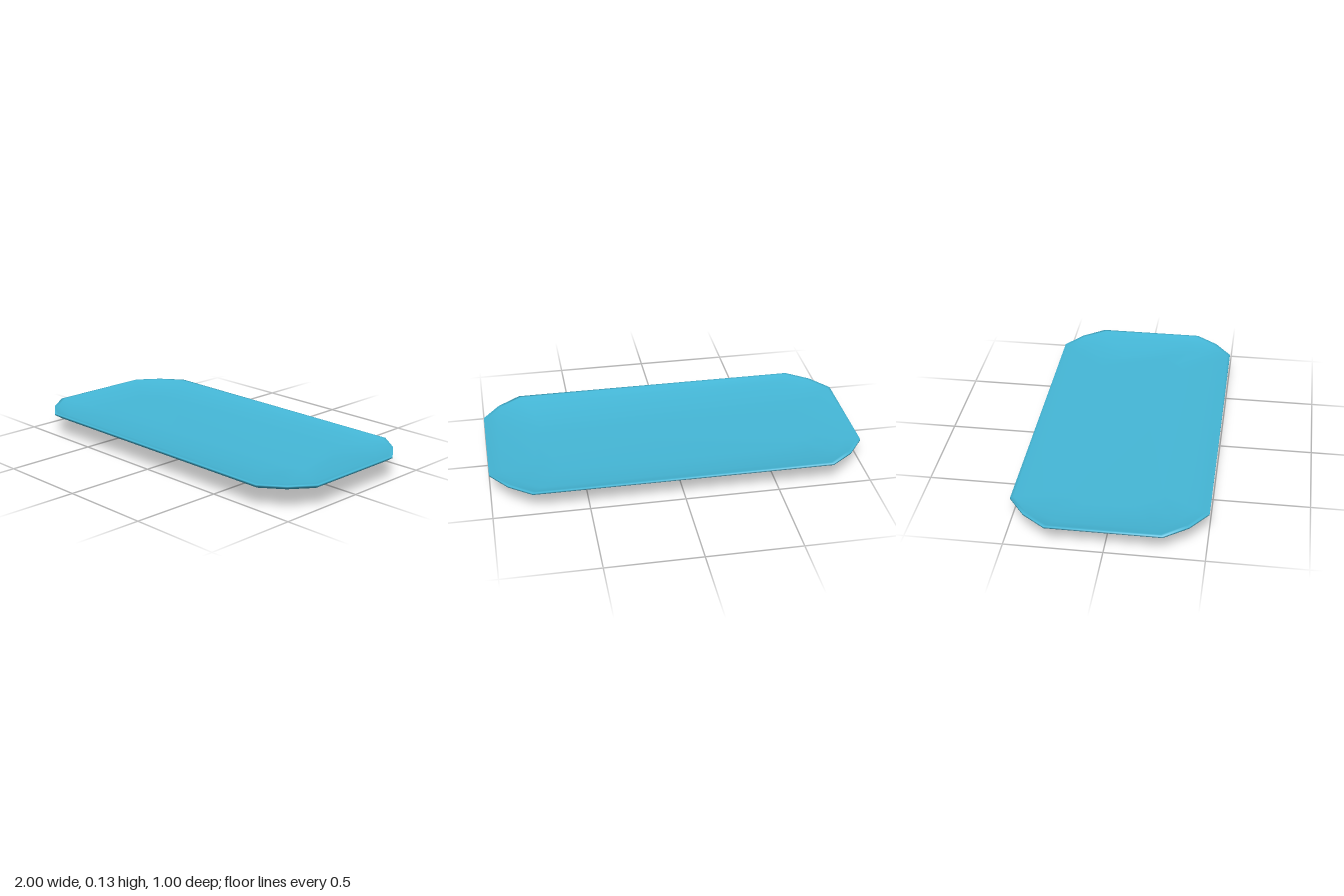
import * as THREE from 'three';

const HALF_X = 1, HALF_Z = 0.5, CORNER_STEPS = 2;

// Wall profile as [inset from the widest outline, height]: up the outside, over the rim, into the shallow dish
const PROFILE = [
  [0.315, 0], [0.3, 0.002], [0.275, 0.015], [0.03, 0.1], [0, 0.12],
  [0, 0.129], [0.015, 0.129], [0.07, 0.112], [0.25, 0.098],
];

// Rectangle outline with faceted corners, whose radius shrinks with the inset
function ring(inset, y) {
  const r = 0.21 - 0.3 * inset;
  const cx = HALF_X - inset - r, cz = HALF_Z - inset - r;
  const points = [];
  for (let q = 0; q < 4; q++) {
    const sx = q === 0 || q === 3 ? 1 : -1, sz = q < 2 ? 1 : -1;
    for (let s = 0; s <= CORNER_STEPS; s++) {
      const a = (q + s / CORNER_STEPS) * Math.PI / 2;
      // corner midpoints are pulled in a little
      const k = s === 1 ? r * 0.81 : r;
      points.push(sx * cx + k * Math.cos(a), y, sz * cz + k * Math.sin(a));
    }
  }
  return points;
}

function trayGeometry() {
  const n = 4 * (CORNER_STEPS + 1);
  const positions = PROFILE.flatMap(([inset, y]) => ring(inset, y));
  const index = [];

  // Walls and rim between successive outlines
  for (let i = 0; i < PROFILE.length - 1; i++) {
    for (let j = 0; j < n; j++) {
      const k = (j + 1) % n;
      const a = i * n + j, b = i * n + k, c = a + n, d = b + n;
      index.push(a, c, b, b, c, d);
    }
  }

  // Flat underside and flat inner floor
  const last = (PROFILE.length - 1) * n;
  for (let j = 1; j < n - 1; j++) {
    index.push(0, j, j + 1);
    index.push(last, last + j + 1, last + j);
  }

  const geometry = new THREE.BufferGeometry();
  geometry.setAttribute('position', new THREE.Float32BufferAttribute(positions, 3));
  geometry.setIndex(index);
  geometry.computeVertexNormals();
  return geometry;
}

export function createModel() {
  const group = new THREE.Group();
  group.name = 'servingTray';
  const tray = new THREE.Mesh(trayGeometry(), new THREE.MeshStandardMaterial({ color: 0x45b8d8 }));
  tray.name = 'tray';
  group.add(tray);
  return group;
}
